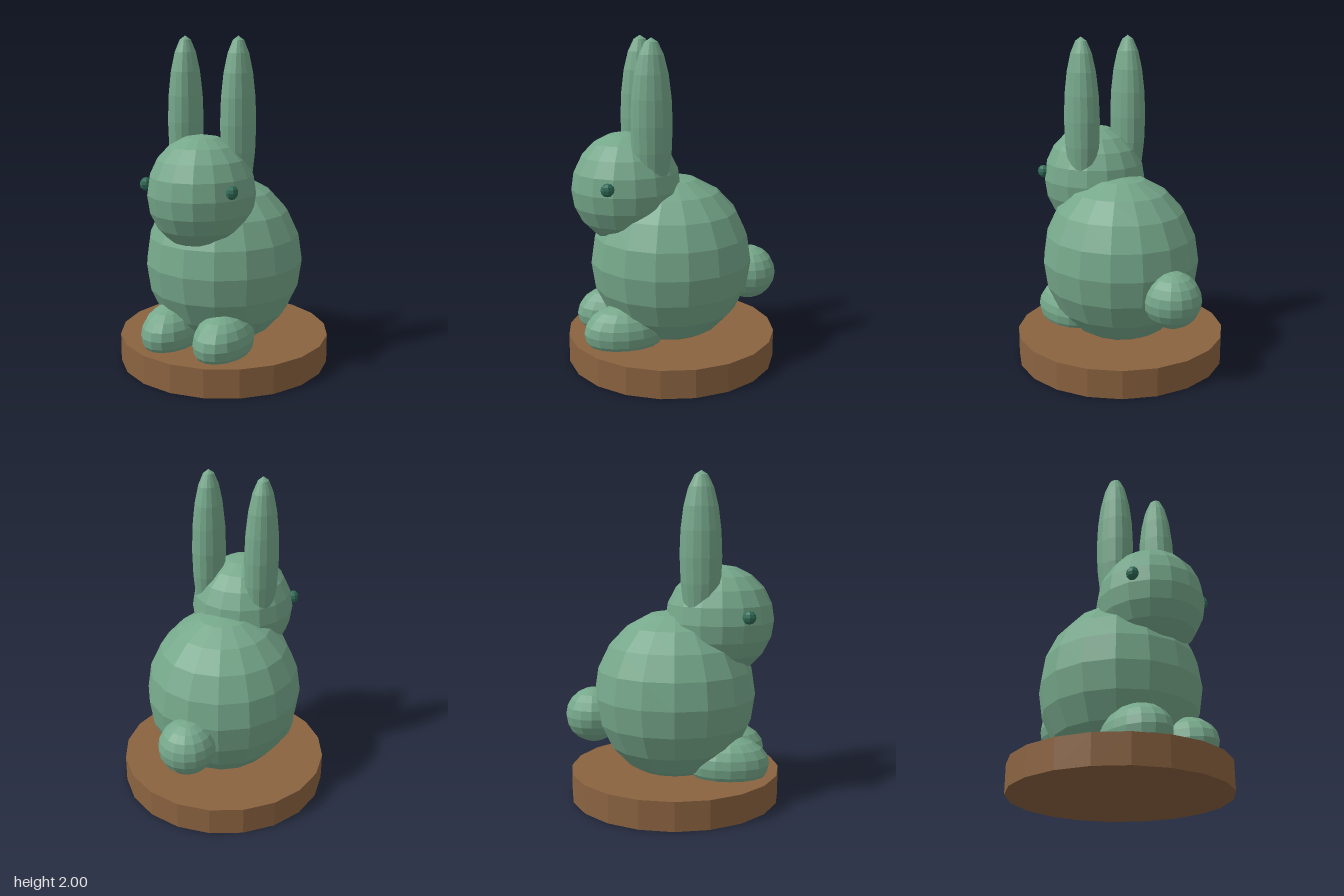
import * as THREE from 'three';

export function createModel() {
  const model = new THREE.Group();
  const mat = (name, color) => {
    const m = new THREE.MeshStandardMaterial({ color, flatShading: true });
    m.name = name;
    return m;
  };
  const green = mat('sage green', 0x76a88b);
  const darkGreen = mat('dark green', 0x2f6b57);
  const brown = mat('wood brown', 0x8b6340);

  const add = (name, geometry, material, x, y, z) => {
    const mesh = new THREE.Mesh(geometry, material);
    mesh.name = name;
    mesh.position.set(x, y, z);
    model.add(mesh);
  };
  const ellipsoid = (rx, ry, rz, columns = 16, rows = 10) =>
    new THREE.SphereGeometry(1, columns, rows).scale(rx, ry, rz);

  // Round plinth
  add('base', new THREE.CylinderGeometry(0.65, 0.65, 0.175, 20), brown, 0, 0.0875, 0.015);

  // Body, head and tail
  add('body', ellipsoid(0.48, 0.53, 0.5), green, 0, 0.64, 0.015);
  add('head', ellipsoid(0.315, 0.34, 0.335), green, 0, 1.105, 0.29);
  add('tail', ellipsoid(0.173, 0.17, 0.175), green, 0, 0.51, -0.49);

  // Paired parts
  for (const [side, s] of [['left', 1], ['right', -1]]) {
    add(side + 'Ear', ellipsoid(0.1, 0.5, 0.125), green, s * 0.175, 1.5, 0.168);
    add(side + 'Foot', ellipsoid(0.163, 0.168, 0.245), green, s * 0.177, 0.248, 0.345);
    add(side + 'Eye', ellipsoid(0.033, 0.04, 0.041, 8, 6), darkGreen, s * 0.283, 1.155, 0.447);
  }
  return model;
}
